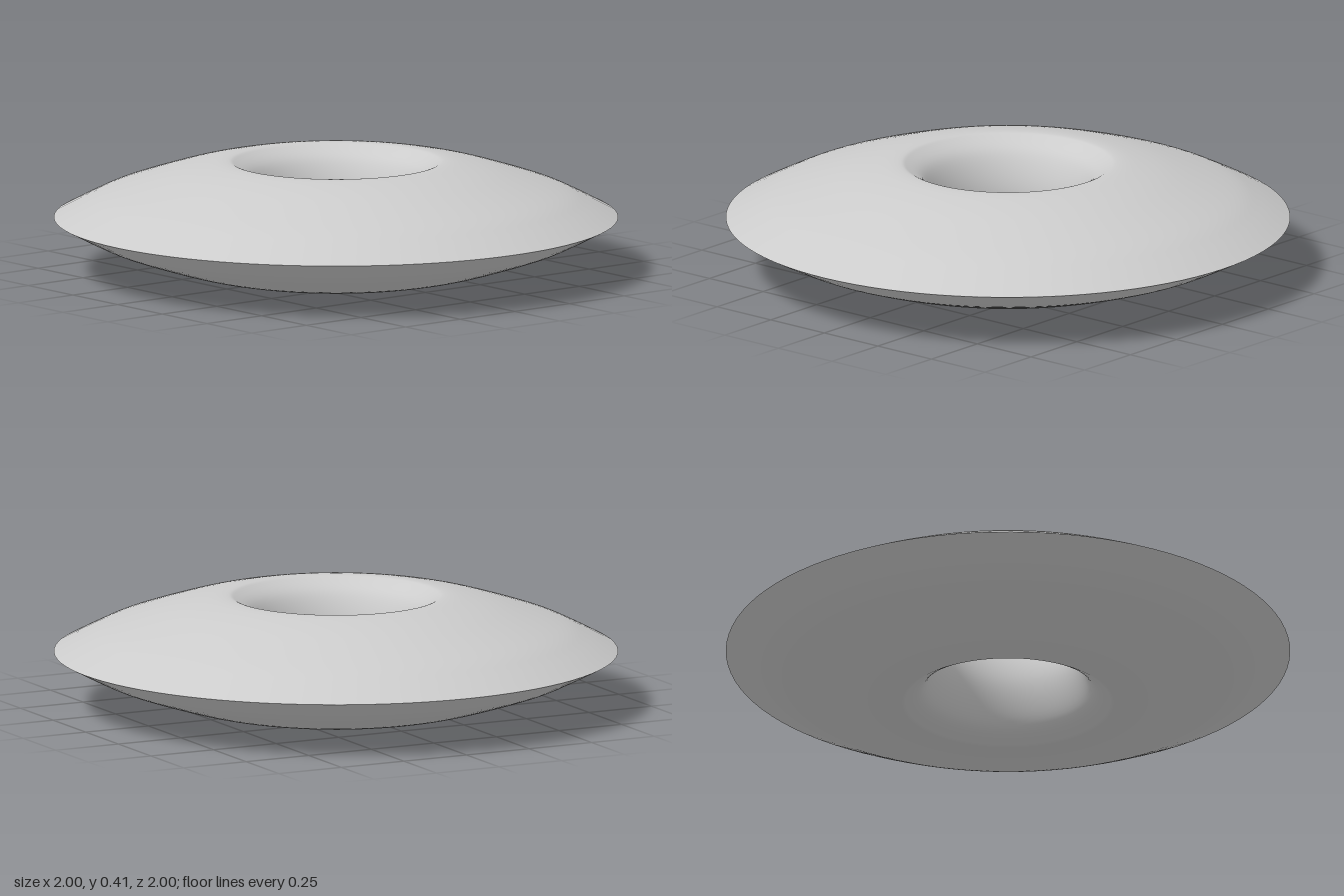
import * as THREE from 'three';

export function createModel() {
  const group = new THREE.Group();
  const midY = 0.203;

  // Upper half of the section: sharp outer rim, over the crest, down to the throat (radius, height above middle)
  const upper = [
    [1, 0], [0.9, 0.052], [0.8, 0.097], [0.6, 0.162], [0.47, 0.193],
    [0.39, 0.203], [0.355, 0.193], [0.3, 0.153], [0.264, 0.08], [0.25, 0],
  ];
  // Mirror it below the middle, leaving the rim open so its edge stays sharp
  const lower = upper.slice(0, -1).reverse().map(([r, h]) => [r, -h]);
  const section = [...upper, ...lower].map(([r, h]) => new THREE.Vector2(r, midY + h));
  const profile = new THREE.SplineCurve(section).getPoints(90);

  const ring = new THREE.Mesh(
    new THREE.LatheGeometry(profile, 96),
    new THREE.MeshStandardMaterial({ color: 0xcccccc })
  );
  ring.name = 'discRing';
  group.add(ring);
  return group;
}
